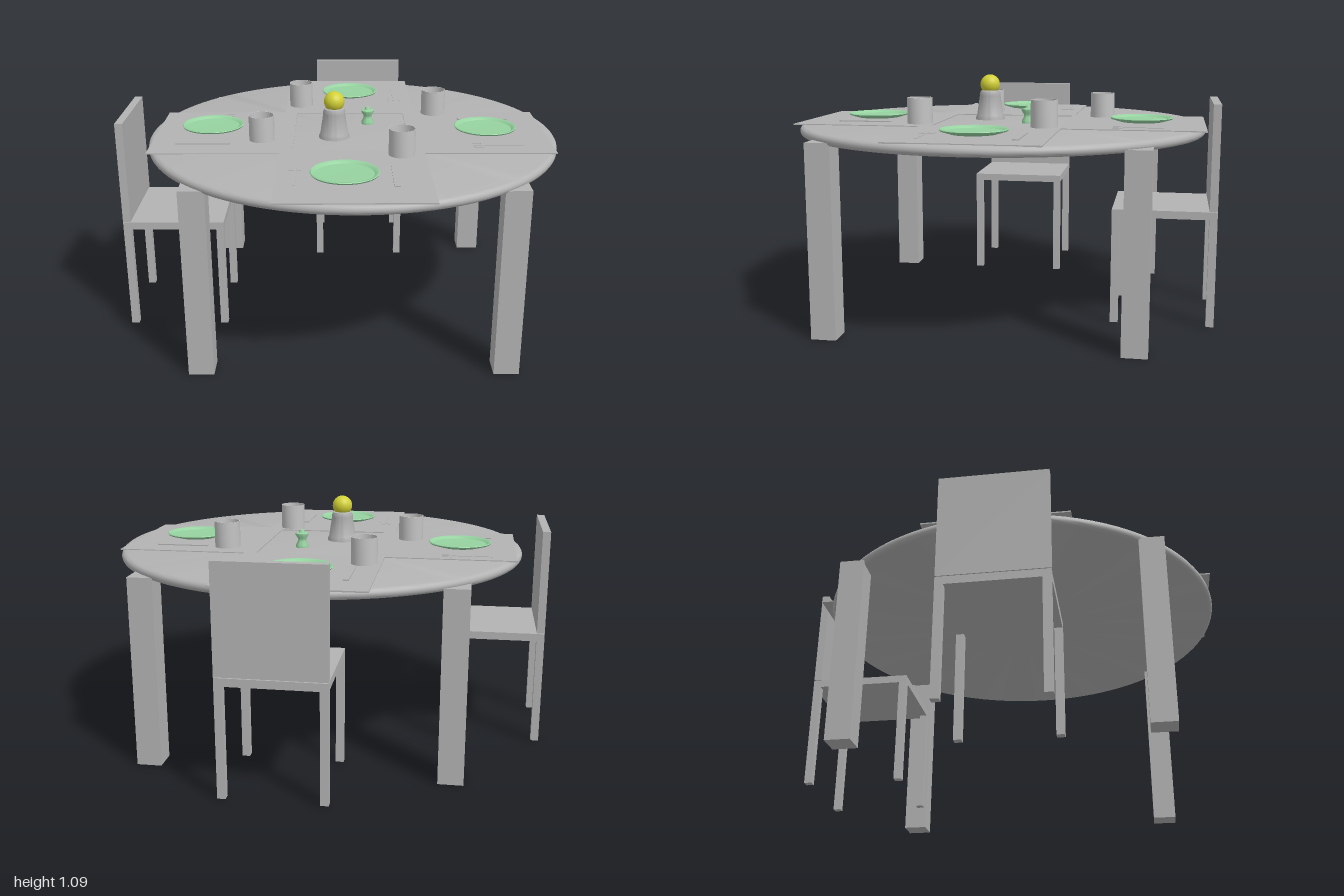
import * as THREE from 'three';
import { toCreasedNormals } from 'three/addons/utils/BufferGeometryUtils.js';

const material = (name, color, side = THREE.FrontSide) => {
  const m = new THREE.MeshStandardMaterial({ color, side });
  m.name = name;
  return m;
};

export function createModel() {
  const grey = material('grey', 0xb3b3b3);
  const glass = material('lightGrey', 0xc4c4c4, THREE.DoubleSide);
  const green = material('green', 0x96d2a0);
  const yellow = material('yellow', 0xd2d035);
  const model = new THREE.Group();
  model.name = 'diningSet';

  const add = (parent, name, geometry, mat, x, y, z) => {
    const mesh = new THREE.Mesh(geometry, mat);
    mesh.name = name;
    mesh.position.set(x, y, z);
    parent.add(mesh);
    return mesh;
  };
  // Box given by its lower and upper limits
  const box = (parent, name, x0, x1, y0, y1, z0, z1) =>
    add(parent, name, new THREE.BoxGeometry(x1 - x0, y1 - y0, z1 - z0), grey,
      (x0 + x1) / 2, (y0 + y1) / 2, (z0 + z1) / 2);
  // Turned solid from radius and height pairs, bottom to top
  const lathe = (points, segments = 48) => toCreasedNormals(
    new THREE.LatheGeometry(points.map(([r, y]) => new THREE.Vector2(r, y)), segments), 0.7);

  // Table: round top with a bullnose edge and four square legs
  const edge = [];
  for (let i = 0; i <= 8; i++) {
    const a = -Math.PI / 2 + (i / 8) * Math.PI;
    edge.push([0.92 + 0.022 * Math.cos(a), 0.857 + 0.022 * Math.sin(a)]);
  }
  add(model, 'tableTop', lathe([[0, 0.835], ...edge, [0, 0.879]], 96), grey, 0.055, 0, 0.03);
  for (const x of [-0.605, 0.715])
    for (const z of [-0.635, 0.685])
      box(model, 'tableLeg', x - 0.055, x + 0.055, 0, 0.85, z - 0.055, z + 0.055);

  // Chair: origin at the floor under the seat centre, backrest on -z
  const makeChair = (x, z, turn) => {
    const chair = new THREE.Group();
    chair.name = 'chair';
    const h = 0.23;
    box(chair, 'seat', -h, h, 0.49, 0.525, -h, h);
    box(chair, 'backrest', -h, h, 0.528, 0.995, -h, -h + 0.035);
    for (const sx of [-1, 1])
      for (const sz of [-1, 1])
        add(chair, 'chairLeg', new THREE.BoxGeometry(0.035, 0.485, 0.035), grey,
          sx * (h - 0.0175), 0.2475, sz * (h - 0.0175));
    chair.position.set(x, 0, z);
    chair.rotation.y = turn;
    model.add(chair);
  };
  makeChair(0.1, -0.737, 0);
  makeChair(-0.768, 0.058, Math.PI / 2);

  // Place mats, one per side
  const mats = [[0.045, -0.59], [0.05, 0.63], [-0.535, 0.04], [0.63, 0.04]];
  for (const [x, z] of mats)
    box(model, 'placeMat', x - 0.32, x + 0.32, 0.877, 0.883, z - 0.32, z + 0.32);

  // Plates with a raised rim
  const plate = lathe([[0, 0], [0.1, 0], [0.14, 0.012], [0.144, 0.018], [0.141, 0.021],
    [0.132, 0.019], [0.122, 0.01], [0, 0.008]]);
  const plates = [[0.05, 0.889, -0.62], [-0.6, 0.889, 0], [0.675, 0.891, 0.04], [0.015, 0.886, 0.655]];
  for (const [x, y, z] of plates) add(model, 'plate', plate, green, x, y, z);

  // Cups, hollow and open at the top
  const cup = lathe([[0, 0], [0.058, 0], [0.058, 0.118], [0.055, 0.118], [0.055, 0.006], [0, 0.006]], 32);
  const cups = [[-0.2, 0.882, -0.42], [0.455, 0.898, -0.22], [-0.36, 0.88, 0.16], [0.265, 0.885, 0.38]];
  for (const [x, y, z] of cups) add(model, 'cup', cup, glass, x, y, z);

  // Knives
  box(model, 'knife', -0.177, -0.152, 0.88, 0.888, -0.75, -0.51);
  box(model, 'knife', 0.21, 0.235, 0.88, 0.888, 0.535, 0.78);
  box(model, 'knife', -0.745, -0.5, 0.88, 0.888, 0.21, 0.235);
  box(model, 'knife', 0.57, 0.81, 0.88, 0.888, -0.167, -0.142);

  // Forks: origin at the neck, tines towards +z
  const makeFork = (x, z, turn) => {
    const fork = new THREE.Group();
    fork.name = 'fork';
    box(fork, 'handle', -0.005, 0.005, 0, 0.005, -0.185, 0);
    box(fork, 'neck', -0.032, 0.032, 0, 0.005, -0.005, 0.005);
    for (const tx of [-0.027, 0, 0.027])
      box(fork, 'tine', tx - 0.005, tx + 0.005, 0, 0.005, 0, 0.04);
    fork.position.set(x, 0.88, z);
    fork.rotation.y = turn;
    model.add(fork);
  };
  makeFork(0.28, -0.54, 0);
  makeFork(-0.19, 0.575, Math.PI);
  makeFork(-0.565, -0.21, Math.PI / 2);
  makeFork(0.635, 0.25, -Math.PI / 2);

  // Centrepiece: tapered stand carrying a ball
  add(model, 'stand', lathe([[0, 0], [0.07, 0], [0.07, 0.01], [0.064, 0.022], [0.05, 0.115],
    [0.051, 0.122], [0.046, 0.137], [0.032, 0.142], [0, 0.142]]), grey, -0.03, 0.878, 0.11);
  add(model, 'ball', new THREE.SphereGeometry(0.047, 32, 20), yellow, -0.03, 1.047, 0.11);

  // Small waisted shaker with a knob
  add(model, 'shaker', lathe([[0, 0], [0.029, 0], [0.029, 0.012], [0.019, 0.03], [0.02, 0.042],
    [0.03, 0.058], [0.03, 0.066], [0.014, 0.07], [0.01, 0.082], [0, 0.085]], 32),
  green, 0.13, 0.88, -0.1);

  return model;
}
